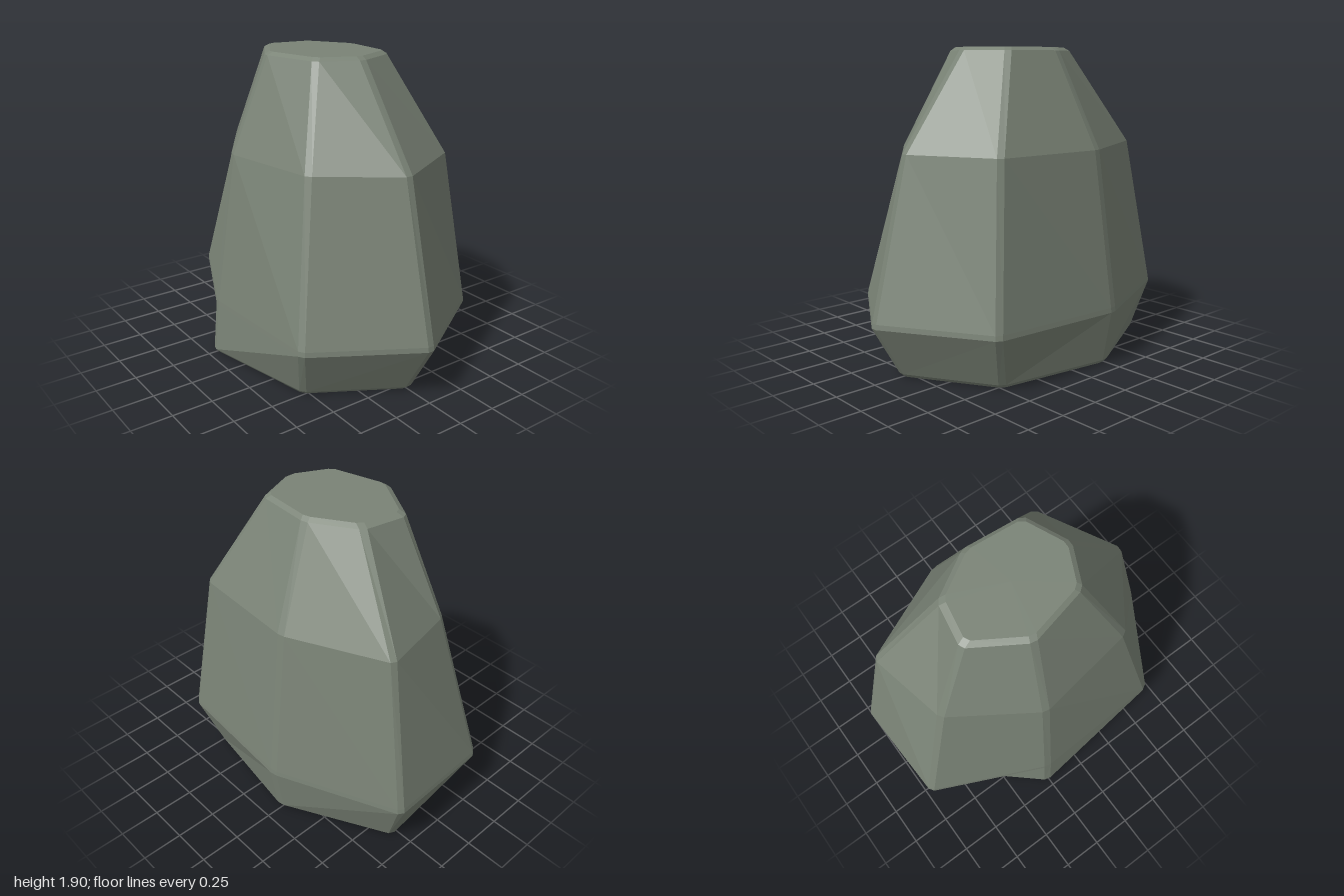
import * as THREE from 'three';

// Seven corners per level as [x, z], from the front tip round by +x
const foot = [[0, 0.82], [0.53, 0.5], [0.64, -0.24], [0.3, -0.89], [-0.25, -0.77], [-0.7, -0.26], [-0.54, 0.5]];
const belly = [[0, 1], [0.63, 0.61], [0.69, -0.25], [0.36, -1], [-0.34, -0.97], [-0.67, -0.25], [-0.63, 0.62]];
const shoulder = [[0, 0.77], [0.52, 0.5], [0.565, -0.22], [0.29, -0.82], [-0.22, -0.71], [-0.55, -0.21], [-0.45, 0.44]];
const crown = [[0, 0.35], [0.28, 0.23], [0.31, -0.14], [0.14, -0.42], [-0.14, -0.47], [-0.34, -0.15], [-0.25, 0.23]];

// Cut each corner into two points, so the upright edges get a narrow bevel
function ring(corners, y, scale = 1.01, cut = 0.024) {
  const n = corners.length;
  const pts = corners.map(([x, z]) => new THREE.Vector3(x * scale, y, z * scale));
  return pts.flatMap((p, i) => [pts[(i + n - 1) % n], pts[(i + 1) % n]].map((q) =>
    p.clone().addScaledVector(q.clone().sub(p).normalize(), cut)));
}

function rockGeometry() {
  const rings = [
    ring(foot, 0, 0.98),
    ring(foot, 0.022),
    ring(belly, 0.33),
    ring(belly, 0.36, 1.006),
    ring(shoulder, 1.3),
    ring(crown, 1.88),
    ring(crown, 1.9, 0.92),
  ];
  const pos = [];
  const tri = (...points) => points.forEach((p) => pos.push(p.x, p.y, p.z));
  // Side panels: the diagonals lean one way below the belly, the other above
  for (let r = 0; r < rings.length - 1; r++) {
    const lo = rings[r], hi = rings[r + 1];
    for (let i = 0; i < lo.length; i++) {
      const j = (i + 1) % lo.length;
      if (r < 2) {
        tri(lo[i], lo[j], hi[j]);
        tri(lo[i], hi[j], hi[i]);
      } else {
        tri(lo[i], lo[j], hi[i]);
        tri(lo[j], hi[j], hi[i]);
      }
    }
  }
  // Flat top and underside
  const top = rings[rings.length - 1], base = rings[0];
  const topMid = new THREE.Vector3(0, 1.9, -0.05), baseMid = new THREE.Vector3();
  top.forEach((p, i) => tri(topMid, p, top[(i + 1) % top.length]));
  base.forEach((p, i) => tri(baseMid, base[(i + 1) % base.length], p));

  const geometry = new THREE.BufferGeometry();
  geometry.setAttribute('position', new THREE.Float32BufferAttribute(pos, 3));
  geometry.computeVertexNormals();
  return geometry;
}

export function createModel() {
  const stone = new THREE.MeshStandardMaterial({ color: 0x7a8376 });
  stone.name = 'greyGreenStone';
  const rock = new THREE.Mesh(rockGeometry(), stone);
  rock.name = 'rock';
  const group = new THREE.Group();
  group.name = 'boulder';
  group.add(rock);
  return group;
}
